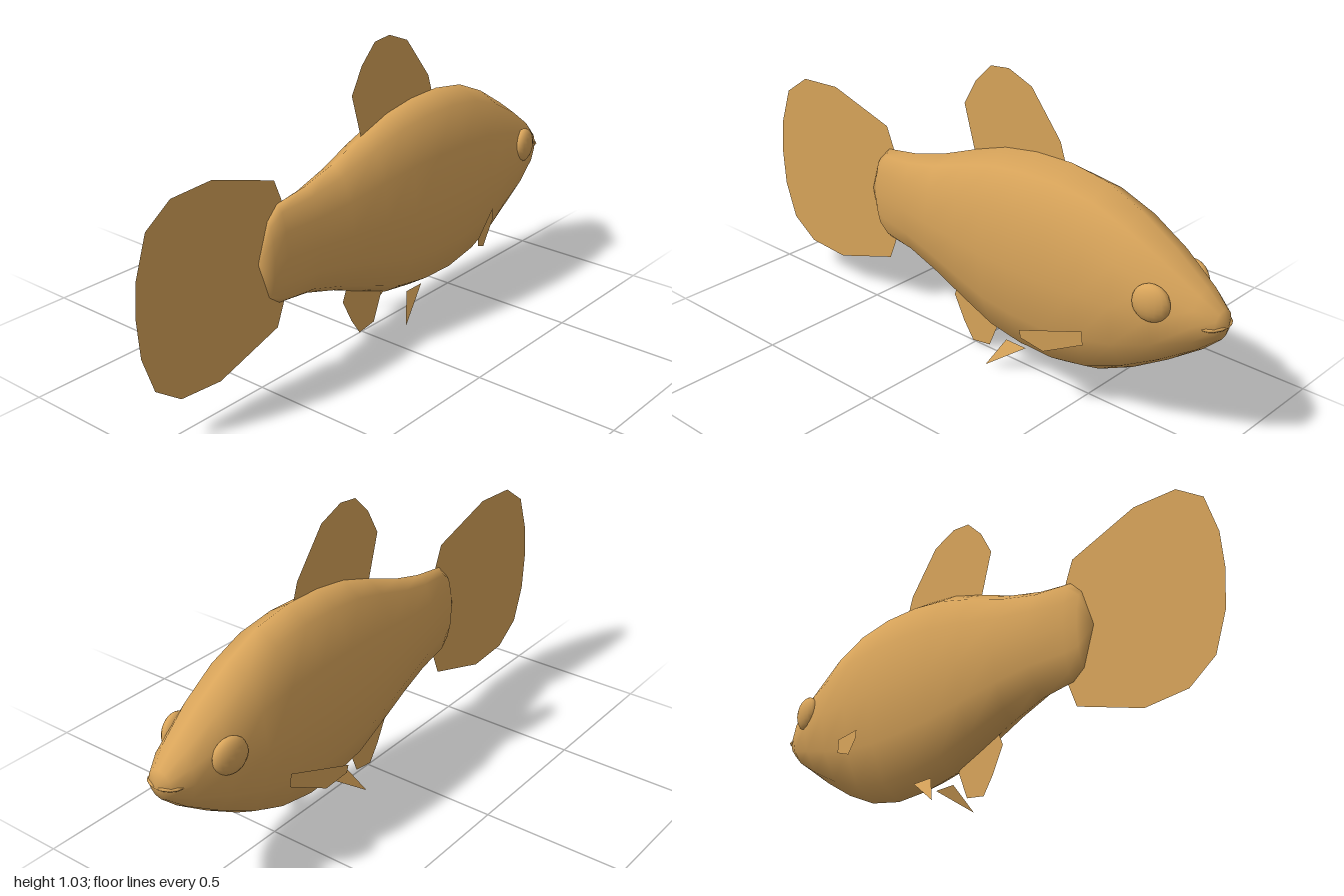
import * as THREE from 'three';
import { mergeVertices } from 'three/addons/utils/BufferGeometryUtils.js';

const SIDES = 12;

// Body rings from nose to tail: z, top y, bottom y, half width
const RINGS = [
  [-1, 0.44, 0.44, 0], [-0.98, 0.488, 0.39, 0.046], [-0.92, 0.542, 0.335, 0.083],
  [-0.8, 0.632, 0.25, 0.122], [-0.67, 0.711, 0.17, 0.145], [-0.54, 0.766, 0.11, 0.15],
  [-0.4, 0.788, 0.081, 0.15], [-0.26, 0.785, 0.084, 0.146], [-0.13, 0.765, 0.105, 0.135],
  [0, 0.722, 0.155, 0.117], [0.15, 0.664, 0.215, 0.093], [0.28, 0.629, 0.255, 0.07],
  [0.41, 0.61, 0.27, 0.044], [0.455, 0.565, 0.303, 0.029], [0.5, 0.435, 0.435, 0],
];

function bodyGeometry() {
  const pos = [], index = [];
  RINGS.forEach(([z, top, bottom, w], i) => {
    for (let j = 0; j < SIDES; j++) {
      const a = (j / SIDES) * Math.PI * 2;
      pos.push(w * Math.sin(a), (top + bottom) / 2 + ((top - bottom) / 2) * Math.cos(a), z);
      if (i === RINGS.length - 1) continue;
      const p = i * SIDES + j, q = i * SIDES + ((j + 1) % SIDES);
      if (i < RINGS.length - 2) index.push(p, p + SIDES, q + SIDES);
      else index.push(p, p + SIDES, q);
      if (i > 0 && i < RINGS.length - 2) index.push(p, q + SIDES, q);
    }
  });
  const g = new THREE.BufferGeometry();
  g.setAttribute('position', new THREE.Float32BufferAttribute(pos, 3));
  g.setIndex(index);
  const merged = mergeVertices(g);
  merged.computeVertexNormals();
  return merged;
}

// Flat fin outlined in (z, y); xAt gives the sideways lean of each point
function finGeometry(points, xAt = () => 0) {
  const g = new THREE.ShapeGeometry(new THREE.Shape(points.map(([z, y]) => new THREE.Vector2(z, y))));
  const p = g.attributes.position;
  for (let i = 0; i < p.count; i++) {
    const z = p.getX(i), y = p.getY(i);
    p.setXYZ(i, xAt(z, y), y, z);
  }
  g.computeVertexNormals();
  return g;
}

export function createModel() {
  const model = new THREE.Group();
  model.name = 'fish';
  const golden = new THREE.MeshStandardMaterial({ color: 0xd8a45a, side: THREE.DoubleSide });
  golden.name = 'goldenTan';

  const add = (name, geometry) => {
    const mesh = new THREE.Mesh(geometry, golden);
    mesh.name = name;
    model.add(mesh);
    return mesh;
  };

  add('body', bodyGeometry());

  // Fins on the centre line
  add('tailFin', finGeometry([
    [0.36, 0.5], [0.39, 0.62], [0.42, 0.692], [0.68, 0.773], [0.845, 0.765], [0.945, 0.695],
    [0.99, 0.56], [1, 0.44], [0.99, 0.31], [0.945, 0.183], [0.845, 0.113], [0.68, 0.102],
    [0.42, 0.185], [0.39, 0.26], [0.36, 0.38],
  ]));
  add('dorsalFin', finGeometry([
    [0, 0.7], [0.05, 0.87], [0, 0.96], [-0.065, 1.025], [-0.14, 1.033], [-0.235, 0.995],
    [-0.355, 0.845], [-0.38, 0.77], [-0.2, 0.74],
  ]));
  add('analFin', finGeometry([
    [0.08, 0.2], [0.1, 0.15], [0.055, 0.062], [0.012, 0], [-0.065, 0.012], [-0.105, 0.11], [-0.06, 0.16],
  ]));

  // Paired fins and eyes
  for (const [side, s] of [['left', 1], ['right', -1]]) {
    add(side + 'PectoralFin', finGeometry(
      [[-0.57, 0.317], [-0.38, 0.28], [-0.385, 0.253], [-0.455, 0.22], [-0.575, 0.27]],
      (z) => s * (0.14 + (z + 0.57) * 0.385)));
    add(side + 'PelvicFin', finGeometry(
      [[-0.13, 0], [-0.185, 0.1], [-0.27, 0.1]],
      (z, y) => s * (0.05 + (0.1 - y) * 0.43)));

    const eye = add(side + 'Eye', new THREE.SphereGeometry(0.062, 16, 12));
    eye.scale.x = 0.5;
    eye.position.set(s * 0.11, 0.49, -0.8);
    eye.rotation.y = s * 0.2;
  }

  // Slim lip line around the tip of the nose
  const mouth = add('mouth', new THREE.SphereGeometry(1, 16, 8));
  mouth.scale.set(0.066, 0.012, 0.05);
  mouth.position.set(0, 0.437, -0.95);

  return model;
}
